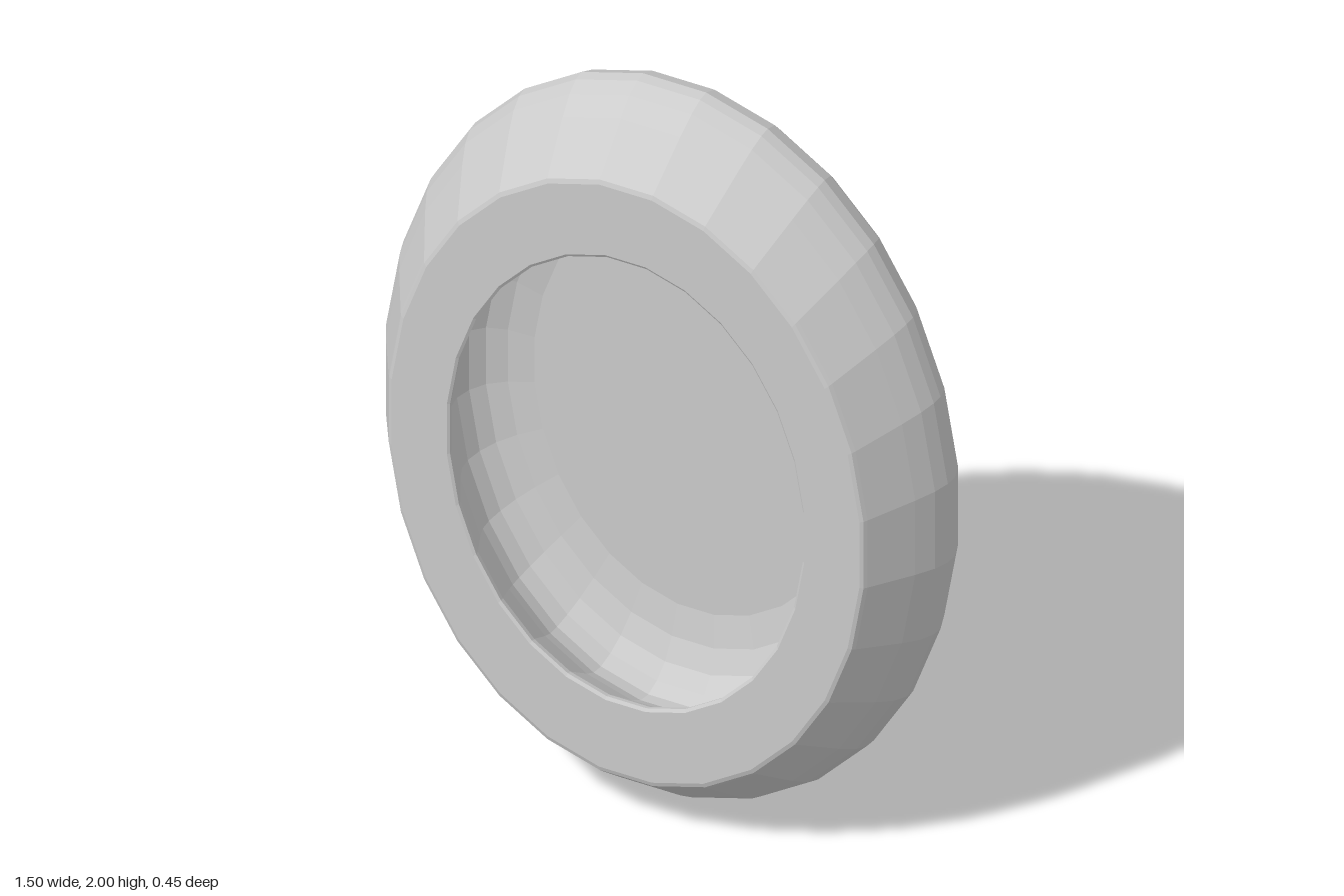
import * as THREE from 'three';

const SIDES = 28;

// Oval ring body turned from [radius ratio, z] pairs, then stretched to an ellipse
function ovalLathe(profile) {
  const points = profile.map(([r, z]) => new THREE.Vector2(r, z));
  const geometry = new THREE.LatheGeometry(points, SIDES, Math.PI / SIDES);
  geometry.rotateX(Math.PI / 2);
  geometry.scale(0.753, 1.006, 1);
  return geometry;
}

export function createModel() {
  const group = new THREE.Group();
  group.name = 'ovalDish';
  const material = new THREE.MeshStandardMaterial({ color: 0xcccccc, flatShading: true });

  const parts = {
    // flat back and bulging outer wall, up to the softened front edge
    outerShell: [
      [0, -0.225], [0.61, -0.225], [0.7, -0.208], [0.79, -0.185], [0.87, -0.15],
      [0.935, -0.11], [0.98, -0.065], [1, -0.02], [0.997, 0.01], [0.98, 0.05],
      [0.945, 0.1], [0.855, 0.212], [0.847, 0.221], [0.835, 0.225],
    ],
    // flat front face
    frontRim: [[0.835, 0.225], [0.638, 0.225], [0.63, 0.22]],
    // undercut hollow with a flat floor
    hollow: [
      [0.63, 0.22], [0.635, 0.205], [0.73, 0.08], [0.762, 0.03], [0.77, -0.01],
      [0.755, -0.05], [0.72, -0.085], [0.66, -0.11], [0.575, -0.125], [0, -0.125],
    ],
  };

  for (const [name, profile] of Object.entries(parts)) {
    const mesh = new THREE.Mesh(ovalLathe(profile), material);
    mesh.name = name;
    mesh.position.y = 1;
    group.add(mesh);
  }
  return group;
}
